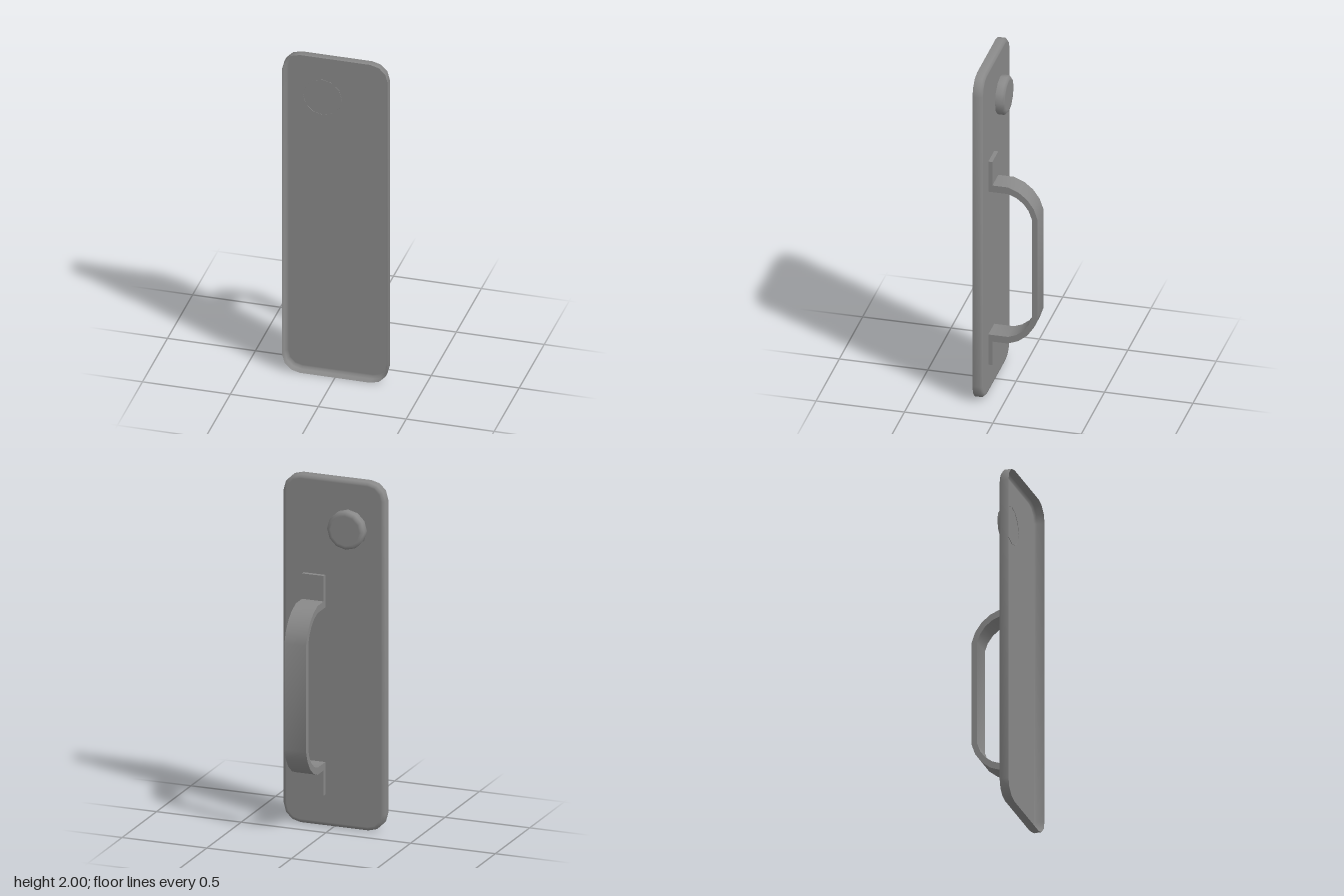
import * as THREE from 'three';
import { toCreasedNormals } from 'three/addons/utils/BufferGeometryUtils.js';

const CREASE = 1;

function makeMesh(name, geometry) {
  const material = new THREE.MeshStandardMaterial({ color: 0x888888, side: THREE.DoubleSide });
  const mesh = new THREE.Mesh(toCreasedNormals(geometry, CREASE), material);
  mesh.name = name;
  return mesh;
}

// Rounded rectangle, counter-clockwise, pulled in by inset
function outline(halfW, halfH, radius, inset, steps) {
  const points = [];
  const corners = [[1, 1], [-1, 1], [-1, -1], [1, -1]];
  corners.forEach(([sx, sy], k) => {
    for (let i = 0; i <= steps; i++) {
      const a = (k + i / steps) * Math.PI / 2;
      points.push([
        sx * (halfW - radius) + (radius - inset) * Math.cos(a),
        sy * (halfH - radius) + (radius - inset) * Math.sin(a),
      ]);
    }
  });
  return points;
}

// Hollow plate: open at the front, softly bevelled around the closed back
function plateGeometry() {
  const rings = [[0, 0.168], [0, 0.125], [0.012, 0.113], [0.022, 0.113]]; // inset, z
  const positions = [], index = [];
  let n = 0;
  for (const [inset, z] of rings) {
    const ring = outline(0.3, 1, 0.1, inset, 3);
    n = ring.length;
    for (const [x, y] of ring) positions.push(x, y + 1, z);
  }
  const centre = positions.length / 3;
  positions.push(0, 1, 0.113);
  for (let i = 0; i < n; i++) {
    const j = (i + 1) % n;
    for (let r = 0; r < rings.length - 1; r++) {
      const a = r * n + i, b = r * n + j;
      index.push(a, a + n, b, b, a + n, b + n);
    }
    const last = (rings.length - 1) * n;
    index.push(centre, last + j, last + i);
  }
  const geometry = new THREE.BufferGeometry();
  geometry.setAttribute('position', new THREE.Float32BufferAttribute(positions, 3));
  geometry.setIndex(index);
  return geometry;
}

// Round lock cover with a soft rim; its open end just passes through the plate
function lockGeometry() {
  const profile = [[0.11, -0.002], [0.11, 0.038], [0.098, 0.05], [0.085, 0.05], [0, 0.05]]
    .map(([r, h]) => new THREE.Vector2(r, h));
  return new THREE.LatheGeometry(profile, 12).rotateX(-Math.PI / 2);
}

// Bent strap with a mounting tab at each end
function handleGeometry() {
  // The bend is a shallow arc that meets the straight runs at a slight angle
  const bendV = 0.305, steps = 4;
  const low = THREE.MathUtils.degToRad(12), high = Math.PI / 2 - low;
  const span = Math.sin(high) - Math.sin(low);
  const half = (tabU, barV, reach) => {
    const points = [[tabU, 0.631], [tabU, barV]];
    for (let i = 0; i <= steps; i++) {
      const a = THREE.MathUtils.lerp(high, low, i / steps);
      points.push([
        reach * (Math.cos(a) - Math.sin(low)) / span,
        bendV + (barV - bendV) * (Math.sin(a) - Math.sin(low)) / span,
      ]);
    }
    return points;
  };
  const mirror = (points) => points.map(([u, v]) => [u, -v]);
  const outer = half(-0.088, 0.485, 0.168);
  const inner = half(-0.111, 0.444, 0.135);
  const loop = [
    ...outer, ...mirror(outer).reverse(),
    ...mirror(inner), ...inner.slice().reverse(),
  ];
  const shape = new THREE.Shape(loop.map(([u, v]) => new THREE.Vector2(u, v)));
  return new THREE.ExtrudeGeometry(shape, { depth: 0.128, bevelEnabled: false })
    .rotateY(Math.PI / 2);
}

export function createModel() {
  const model = new THREE.Group();
  model.name = 'doorPullPlate';

  const plate = makeMesh('backPlate', plateGeometry());

  const lock = makeMesh('lockCover', lockGeometry());
  lock.position.set(-0.086, 1.723, 0.113);

  const handle = makeMesh('pullHandle', handleGeometry());
  handle.position.set(0.049, 0.811, 0);

  model.add(plate, lock, handle);
  return model;
}
